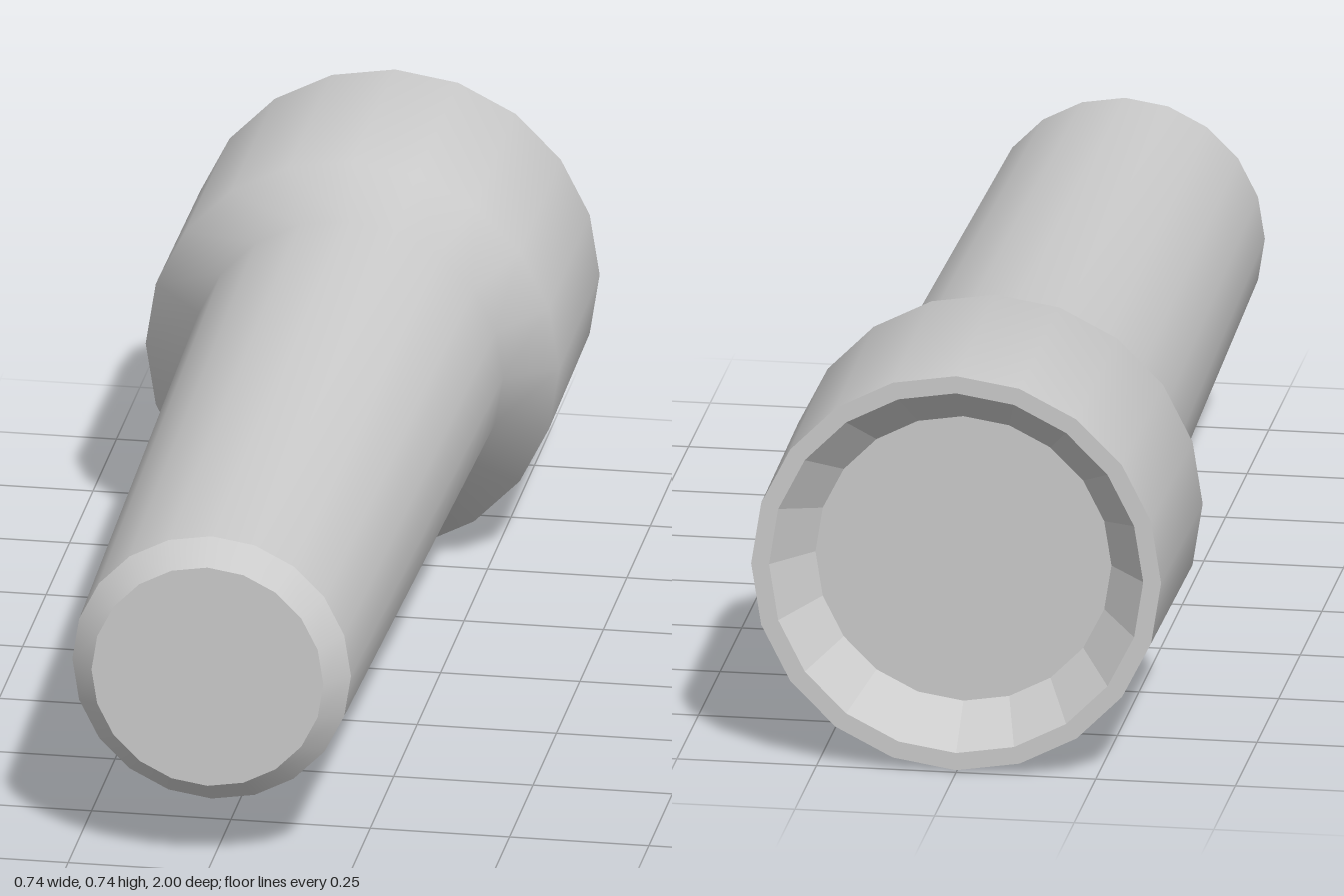
import * as THREE from 'three';

const SIDES = 20;
const AXIS_HEIGHT = 0.372;

// Turned piece along z; profile points are [radius, z], running from back to front
function turned(name, profile, flatShading = false) {
  const points = profile.map(([r, z]) => new THREE.Vector2(r, z));
  const geometry = new THREE.LatheGeometry(points, SIDES);
  geometry.rotateX(Math.PI / 2);
  const material = new THREE.MeshStandardMaterial({ color: 0xcccccc, flatShading });
  const mesh = new THREE.Mesh(geometry, material);
  mesh.name = name;
  mesh.position.y = AXIS_HEIGHT;
  return mesh;
}

export function createModel() {
  const model = new THREE.Group();
  model.name = 'flashlight';
  model.add(
    // Lamp end: recessed lens, faceted reflector and flat rim
    turned('lens', [[0, -0.915], [0.265, -0.915]], true),
    turned('reflector', [[0.265, -0.915], [0.335, -1]], true),
    turned('rim', [[0.335, -1], [0.367, -1]], true),
    // Head, shoulder and tapering handle share smooth normals
    turned('body', [[0.367, -1], [0.371, -0.545], [0.28, -0.49], [0.25, 0.955]]),
    // Chamfered tail and its flat end
    turned('tailBevel', [[0.25, 0.955], [0.208, 1]]),
    turned('tailCap', [[0.208, 1], [0, 1]], true),
  );
  return model;
}
